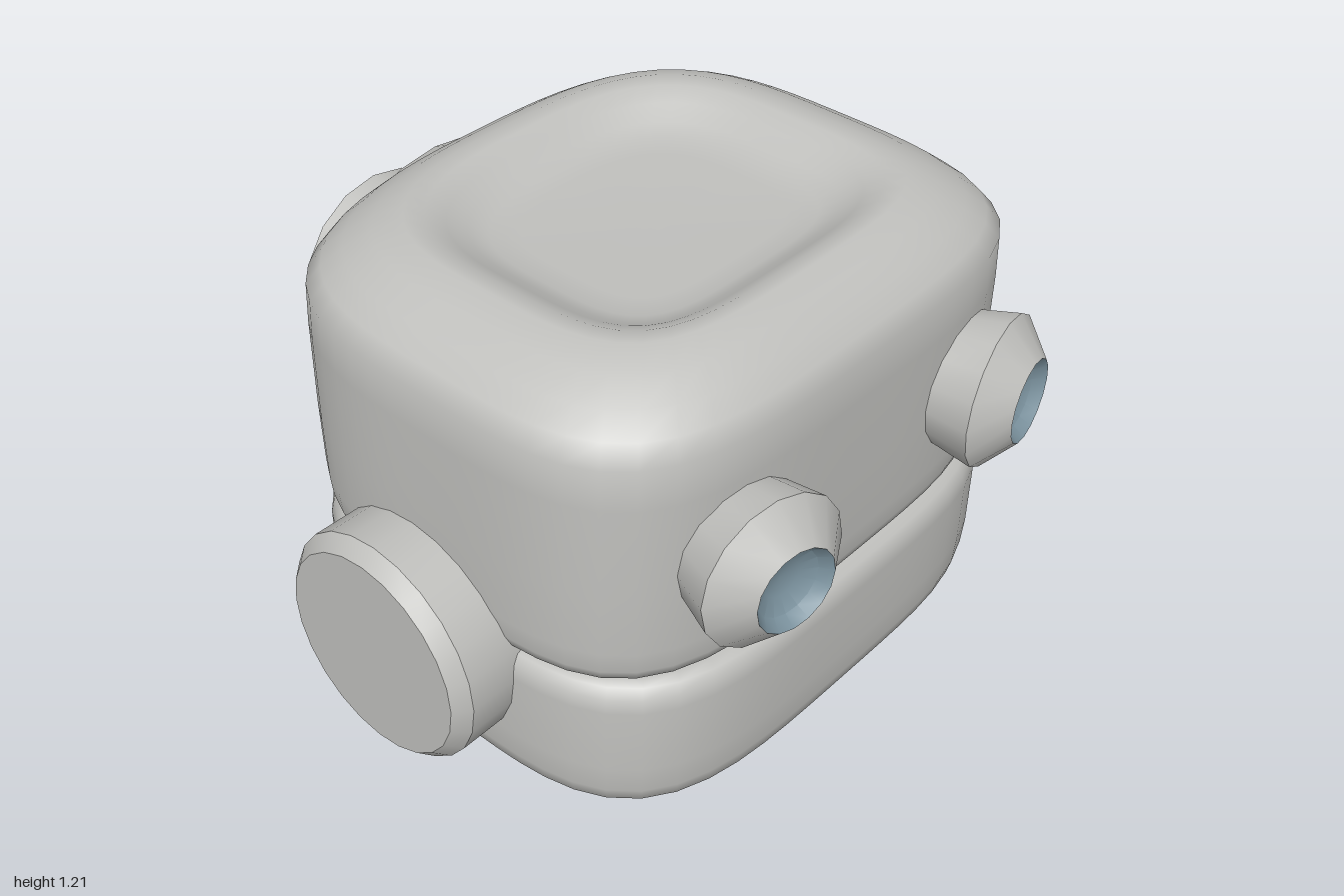
import * as THREE from 'three';
import { toCreasedNormals } from 'three/addons/utils/BufferGeometryUtils.js';

const grey = new THREE.MeshStandardMaterial({ name: 'warm grey shell', color: 0xc0c0bd });
const blue = new THREE.MeshStandardMaterial({ name: 'blue grey lens', color: 0x7b929e });

// Rounded-square loft: profile holds [scale, y]; a repeated point makes a crisp edge
function loft(name, profile, halfX, front, back, zMid) {
  const n = 64, pos = [], idx = [];
  profile.forEach(([k, y]) => {
    for (let j = 0; j < n; j++) {
      const t = (j / n) * Math.PI * 2, c = Math.cos(t), s = Math.sin(t);
      const e = c > 0 ? 4 : 3;
      const r = k / Math.pow(Math.abs(c) ** e + Math.abs(s) ** e, 1 / e);
      pos.push(r * s * halfX, y, zMid + r * c * (c > 0 ? front : back));
    }
  });
  for (let i = 0; i < profile.length - 1; i++) {
    for (let j = 0; j < n; j++) {
      const a = i * n + j, b = i * n + ((j + 1) % n);
      idx.push(a, b, b + n, a, b + n, a + n);
    }
  }
  const g = new THREE.BufferGeometry();
  g.setAttribute('position', new THREE.Float32BufferAttribute(pos, 3));
  g.setIndex(idx);
  g.computeVertexNormals();
  const m = new THREE.Mesh(g, grey);
  m.name = name;
  return m;
}

// Turned part along +y, profile holds [radius, y]
function turned(name, profile, sides, material = grey) {
  const g = new THREE.LatheGeometry(profile.map(([r, y]) => new THREE.Vector2(r, y)), sides);
  const m = new THREE.Mesh(toCreasedNormals(g, 0.5), material);
  m.name = name;
  return m;
}

export function createModel() {
  const model = new THREE.Group();
  model.name = 'robotHead';

  // Upper head with a dished top
  model.add(loft('upperHead', [
    [0, 0.41], [0.9, 0.41], [0.945, 0.413], [0.975, 0.43], [0.988, 0.46], [0.995, 0.52],
    [1, 0.7], [1, 0.95], [0.995, 1.06], [0.95, 1.105], [0.885, 1.147], [0.8, 1.185],
    [0.71, 1.21], [0.65, 1.205], [0.59, 1.18], [0.53, 1.15], [0.47, 1.132], [0.38, 1.125], [0, 1.123],
  ], 0.81, 0.685, 0.69, 0.13));

  // Lower jaw with a recessed underside
  model.add(loft('lowerJaw', [
    [0, 0.045], [0.7, 0.045], [0.7, 0.045], [0.74, 0.025], [0.78, 0.008], [0.83, 0], [0.9, 0.002],
    [0.95, 0.01], [0.98, 0.03], [0.993, 0.07], [1, 0.15], [1, 0.34], [0.99, 0.375],
    [0.97, 0.4], [0.94, 0.409], [0.88, 0.41], [0, 0.41],
  ], 0.805, 0.705, 0.69, 0.13));

  for (const s of [1, -1]) {
    const side = s > 0 ? 'left' : 'right';

    // Eye tube turned slightly outward, with a hollow lens
    const eye = new THREE.Group();
    eye.name = side + 'Eye';
    const tube = turned('eyeTube', [[0, -0.3], [0.168, -0.3], [0.178, -0.2], [0.205, -0.08], [0.113, 0]], 16);
    const lens = turned('eyeLens', [[0.113, 0], [0.09, -0.03], [0.05, -0.05], [0, -0.056]], 16, blue);
    tube.rotation.x = lens.rotation.x = Math.PI / 2;
    eye.add(tube, lens);
    eye.position.set(s * 0.463, 0.747, 0.977);
    eye.rotation.y = s * 0.183;
    model.add(eye);

    // Round cap on the side
    const cap = turned(side + 'EarCap', [[0, 0], [0.313, 0], [0.315, 0.28], [0.28, 0.32], [0, 0.32]], 24);
    cap.rotation.z = -s * Math.PI / 2;
    cap.position.set(s * 0.65, 0.335, 0.108);
    model.add(cap);
  }

  // Back plate
  const plate = turned('backPlate', [
    [0, 0.3], [0.47, 0.3], [0.495, 0.5], [0.512, 0.585], [0.48, 0.655], [0.44, 0.682], [0, 0.682],
  ], 24);
  // Flared nozzle with a hollow end
  const nozzle = turned('backNozzle', [
    [0.262, 0.66], [0.256, 0.75], [0.262, 0.85], [0.279, 0.93], [0.152, 1],
    [0.12, 0.965], [0.065, 0.943], [0, 0.937],
  ], 16);
  for (const part of [plate, nozzle]) {
    part.rotation.x = -Math.PI / 2;
    part.position.y = 0.547;
    model.add(part);
  }
  return model;
}
